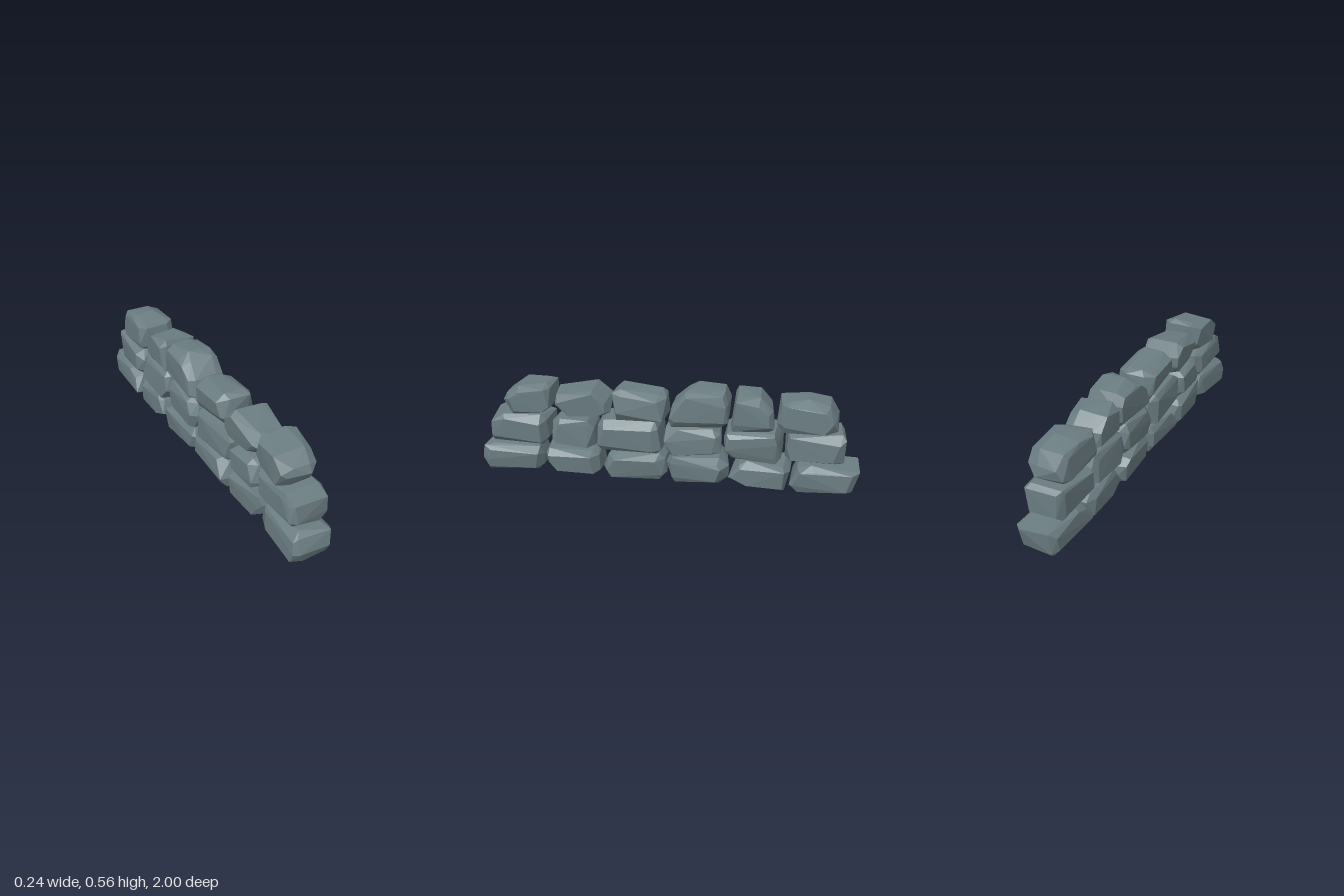
import * as THREE from 'three';
import { ConvexGeometry } from 'three/addons/geometries/ConvexGeometry.js';

// Side outlines of the stones as flat z, y pairs in hundredths, one array per course
const bottomCourse = [
  [100, 7, 98.5, 15, 94, 17, 68, 16, 66, 11, 65.5, 5, 70, 1, 97, 0.5],
  [66, 12, 64, 16.5, 39, 15.5, 36, 13, 34.5, 4, 38, 1, 60, 2, 65, 6],
  [34, 6, 31, 14, 27, 16.5, 3, 17, 0, 14, -0.5, 6, 3, 2, 31, 0],
  [0, 12, -3, 17, -28, 17, -33, 13, -33, 6, -29, 2, -5, 1.5, -1, 4],
  [-33, 7, -37, 15, -42, 17, -62, 15.5, -65, 12, -62, 1, -42, 1.5],
  [-64.5, 5, -68, 15, -75, 17.5, -99, 16.5, -100, 15.5, -97.5, 4, -94, 1.5, -69, 1.5],
];
const middleCourse = [
  [95.5, 22, 94, 31, 87, 35, 67, 34.5, 62, 32, 62, 21, 66, 17, 93, 17.5],
  [62, 22, 60, 32, 56, 34, 41, 34, 37.5, 30, 37.5, 19, 41, 16.5, 60, 18],
  [36.5, 20, 36.5, 31, 33, 34.5, 6, 35.5, 3, 32, 1.5, 19, 5, 17, 34, 17.5],
  [2, 26, 0, 33, -5, 35, -25, 34.5, -28.5, 31, -29, 21, -25, 17, -2, 17.5],
  [-29, 24, -31, 33, -34, 35, -57, 34.5, -60, 29, -60, 20, -57, 17, -34, 17.5],
  [-61, 28, -63, 34.5, -90, 35.5, -92, 33, -91.5, 20, -88, 17.5, -65, 18, -61, 21],
];
const topCourse = [
  [87, 41, 85, 45, 78, 50, 63, 52.5, 59.5, 51, 60, 40, 64, 35, 82, 34],
  [60, 42, 58.5, 47.5, 38, 51, 30, 45.5, 29, 39, 34, 34.5, 53, 34.5],
  [28.5, 40, 28, 50, 24, 52, 3, 50.5, 0, 48, 0, 36, 3, 34, 26, 35],
  [-0.5, 36, -3, 45, -10, 53, -16, 55.5, -30, 54, -32.5, 48, -32, 38, -28, 34, -3, 34],
  [-33, 36, -34.5, 50, -36, 53, -48, 52, -54.5, 45, -55.5, 36, -52, 33.5, -34, 34],
  [-56.5, 39, -57.5, 50, -63, 51.5, -72, 52.5, -83, 50, -87.5, 43, -87.5, 37, -83, 34, -60, 35],
];

let seed;
function vary(amount) {
  seed = (seed * 16807) % 2147483647;
  return (seed / 2147483647 * 2 - 1) * amount;
}

// One chiselled stone: an uneven outline near the middle, smaller tilted faces on both sides
function stoneGeometry(flat, { halfWidth, topRim, bottomRim }) {
  const outline = [];
  for (let i = 0; i < flat.length; i += 2) outline.push(new THREE.Vector2(flat[i] / 100, flat[i + 1] / 100));
  const box = new THREE.Box2().setFromPoints(outline);
  const centre = box.getCenter(new THREE.Vector2());

  // Outline corners that lie close together share one corner of the side face
  const corners = [];
  for (let i = 0; i < outline.length; i++) {
    const next = outline[(i + 1) % outline.length];
    if (outline[i].distanceTo(next) < 0.062) {
      corners.push(outline[i].clone().lerp(next, 0.5 + vary(0.4)));
      i++;
    } else corners.push(outline[i]);
  }

  const points = [];
  for (const p of outline) {
    // Each corner reaches its full extent on one side only
    const fullSide = vary(1) > 0 ? 1 : -1;
    const rim = p.y > centre.y ? topRim : bottomRim;
    for (const side of [1, -1]) {
      const scale = side === fullSide ? 1 : 0.93 + vary(0.05);
      points.push(new THREE.Vector3(
        side * (rim + vary(0.022)),
        centre.y + (p.y - centre.y) * scale,
        centre.x + (p.x - centre.x) * scale,
      ));
    }
  }
  for (const side of [1, -1]) {
    const tiltZ = vary(0.07), tiltY = vary(0.1);
    for (const p of corners) {
      const dz = (p.x - centre.x) * (0.85 + vary(0.1));
      const dy = (p.y - centre.y) * (0.75 + vary(0.17));
      const x = halfWidth + tiltZ * dz + tiltY * dy + vary(0.006);
      points.push(new THREE.Vector3(side * x, centre.y + dy, centre.x + dz));
    }
  }
  return new ConvexGeometry(points);
}

export function createModel() {
  seed = 41;
  const wall = new THREE.Group();
  wall.name = 'stoneWall';
  const material = new THREE.MeshStandardMaterial({ color: 0x6b7d82, flatShading: true });
  const courses = [
    { name: 'bottomCourse', outlines: bottomCourse, halfWidth: 0.105, topRim: 0.074, bottomRim: 0.062 },
    { name: 'middleCourse', outlines: middleCourse, halfWidth: 0.106, topRim: 0.076, bottomRim: 0.064 },
    { name: 'topCourse', outlines: topCourse, halfWidth: 0.1, topRim: 0.054, bottomRim: 0.066 },
  ];
  for (const { name, outlines, ...section } of courses) {
    const course = new THREE.Group();
    course.name = name;
    outlines.forEach((outline, i) => {
      const stone = new THREE.Mesh(stoneGeometry(outline, section), material);
      stone.name = `stone${i + 1}`;
      course.add(stone);
    });
    wall.add(course);
  }
  return wall;
}
